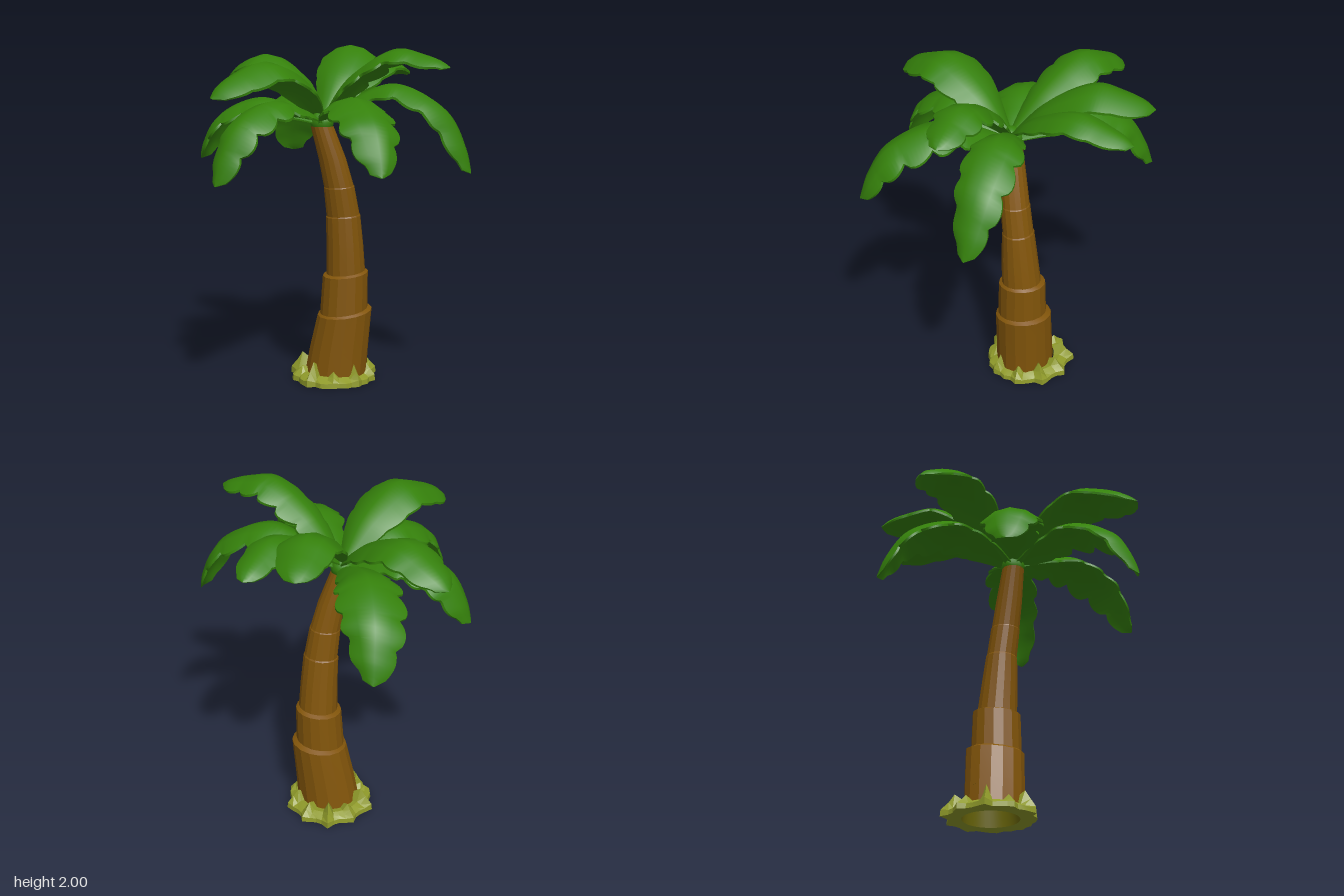
import * as THREE from 'three';
import { toCreasedNormals } from 'three/addons/utils/BufferGeometryUtils.js';

const V = (x, y, z) => new THREE.Vector3(x, y, z);
const mat = (name, color) => {
  const m = new THREE.MeshStandardMaterial({ color });
  m.name = name;
  return m;
};

// Skin closed loops of points, counter-clockwise about the direction of travel
function loft(rows, crease) {
  const n = rows[0].length, pos = [], idx = [];
  rows.forEach(row => row.forEach(p => pos.push(p.x, p.y, p.z)));
  for (let i = 0; i < rows.length - 1; i++) {
    for (let j = 0; j < n; j++) {
      const a = i * n + j, b = i * n + (j + 1) % n;
      idx.push(a, b, a + n, b, b + n, a + n);
    }
  }
  const g = new THREE.BufferGeometry();
  g.setAttribute('position', new THREE.Float32BufferAttribute(pos, 3));
  g.setIndex(idx);
  return toCreasedNormals(g, crease);
}

// Horizontal loop; fn(angle, index) gives [radiusX, radiusZ, y]
function ring(cx, cz, sides, fn) {
  return Array.from({ length: sides }, (_, j) => {
    const a = j / sides * Math.PI * 2, [rx, rz, y] = fn(a, j);
    return V(cx + rx * Math.cos(a), y, cz - rz * Math.sin(a));
  });
}

// Leaning trunk: y, centre x, centre z, radius x, radius z, rim tilt
const TRUNK = [
  [0.02, -0.017, -0.09, 0.188, 0.172, 0],
  [0.2, 0.006, -0.092, 0.176, 0.17, 0],
  [0.42, 0.04, -0.095, 0.162, 0.168, 0.015],
  [0.432, 0.037, -0.087, 0.142, 0.145, 0.015],
  [0.655, 0.046, -0.088, 0.134, 0.139, 0.01],
  [0.667, 0.05, -0.085, 0.114, 0.116, 0.01],
  [0.83, 0.048, -0.073, 0.109, 0.107, 0],
  [1.005, 0.04, -0.06, 0.103, 0.093, 0.005],
  [1.013, 0.04, -0.059, 0.098, 0.089, 0.005],
  [1.18, 0.023, -0.036, 0.09, 0.086, 0.004],
  [1.186, 0.022, -0.035, 0.087, 0.083, 0.004],
  [1.35, -0.01, -0.01, 0.08, 0.078, 0],
  [1.54, -0.062, 0.02, 0.066, 0.066, 0],
];
function trunkGeometry() {
  return loft(TRUNK.map(([y, cx, cz, rx, rz, tilt]) =>
    ring(cx, cz, 16, a => [rx, rz, y + tilt * (Math.cos(a) + Math.sin(a))])), 0.3);
}

// Jagged grass skirt around the foot
const FOOT = [-0.033, -0.107];
const HOLE = 0.158;
function grassGeometry() {
  const N = 40;
  const spike = j => (j % 4 === 0 ? 0.7 + 0.3 * Math.sin(j * 2.3) : 0);
  const edge = j => 0.242 + 0.028 * spike(j) + 0.01 * Math.sin(j * 1.7);
  const row = (r, y) => ring(...FOOT, N, (a, j) => [r(j), r(j) * 1.03, y(j)]);
  return loft([
    row(() => HOLE, () => 0),
    row(edge, () => 0),
    row(j => edge(j) - 0.003, j => 0.028 + 0.012 * spike(j)),
    row(j => 0.215 + 0.018 * spike(j), j => 0.042 + 0.045 * spike(j)),
    row(j => 0.19 + 0.01 * spike(j), j => 0.055 + 0.085 * spike(j)),
    row(() => 0.155, j => 0.05 + 0.06 * spike(j)),
  ], 0.3);
}

// Hollow seen from underneath
function hollowGeometry() {
  const row = (r, y) => ring(...FOOT, 40, () => [r, r * 1.03, y]);
  return loft([row(0.001, 0.17), row(0.135, 0.17), row(HOLE, 0)], 0.5);
}

// Arching frond with a drooping cross-section and lobed edges
const ROOT = [-0.06, 0.02];
function frondGeometry({ mid, tip, y, peak, high, half, lobe }) {
  const y0 = high ? 1.59 : 1.565, top = high ? 0.6 : 0.47, taper = high ? 2.5 : 1.9;
  const at = (u, h) => {
    const k = i => ROOT[i] * 2 * (u - 0.5) * (u - 1) + mid[i] * 4 * u * (1 - u) + tip[i] * 2 * u * (u - 0.5);
    return V(k(0), h, k(1));
  };
  const path = new THREE.CatmullRomCurve3([
    at(0, y0),
    at(top * 0.45, y0 + (peak - y0) * 0.64),
    at(top, peak),
    at(0.8, y + (peak - y) * 0.73),
    at(0.94, y + (peak - y) * 0.33),
    at(1, y),
  ]);
  const rows = [], STEPS = 42, S = [-1, -0.5, 0, 0.5, 1];
  for (let i = 0; i <= STEPS; i++) {
    const t = i / STEPS, p = path.getPointAt(t), T = path.getTangentAt(t);
    const side = V(-T.z, 0, T.x).normalize();
    const up = side.clone().cross(T);
    const shape = t < 0.5 ? 0.13 + 0.87 * Math.sin(Math.PI * t)
      : Math.sqrt(Math.max(0, 1 - ((t - 0.5) / 0.5) ** taper));
    const point = (s, under) => {
      // lobes swell towards the tip, offset between the two edges
      const f = (t * 6 + (s > 0 ? 0.4 : 0)) % 1;
      const bump = Math.sqrt(Math.sin(Math.PI * f ** 1.5));
      const cut = t > 0.2 && t < 0.97 ? 1 - lobe * (1 - bump) : 1;
      const w = half * (shape * (Math.abs(s) === 1 ? cut : 1) + 0.03);
      const thick = (0.03 - 0.016 * s * s) * Math.min(1, shape + 0.25);
      return p.clone().addScaledVector(side, s * w)
        .addScaledVector(up, -0.45 * w * s * s - (under ? thick : 0));
    };
    rows.push([...S.map(s => point(s, false)), ...S.map(s => point(-s, true))]);
  }
  return loft(rows, 0.6);
}

const FRONDS = [
  // lower tier
  { mid: [0.38, -0.045], tip: [0.81, -0.015], y: 1.3, peak: 1.79, half: 0.158, lobe: 0.25 },
  { mid: [0.25, 0.37], tip: [0.5, 0.71], y: 1.36, peak: 1.74, half: 0.175, lobe: 0.28 },
  { mid: [-0.24, 0.41], tip: [-0.415, 0.77], y: 1.28, peak: 1.71, half: 0.17, lobe: 0.28 },
  { mid: [-0.45, 0.06], tip: [-0.81, 0.06], y: 1.33, peak: 1.7, half: 0.178, lobe: 0.2 },
  { mid: [-0.34, -0.34], tip: [-0.5, -0.71], y: 1.3, peak: 1.71, half: 0.185, lobe: 0.25 },
  // upper tier
  { mid: [0.33, 0.11], tip: [0.72, 0.15], y: 1.9, peak: 1.995, half: 0.152, lobe: 0.25, high: true },
  { mid: [-0.2, 0.37], tip: [-0.42, 0.78], y: 1.75, peak: 1.93, half: 0.182, lobe: 0.08, high: true },
  { mid: [-0.43, -0.22], tip: [-0.8, -0.42], y: 1.77, peak: 1.93, half: 0.165, lobe: 0.16, high: true },
  { mid: [-0.045, -0.38], tip: [-0.1, -0.79], y: 1.87, peak: 1.98, half: 0.16, lobe: 0.06, high: true },
  { mid: [0.135, -0.34], tip: [0.2, -0.75], y: 1.8, peak: 1.91, half: 0.128, lobe: 0.12, high: true },
];

export function createModel() {
  const bark = mat('bark brown', 0x82550a);
  const leaf = mat('leaf green', 0x35810b);
  const grass = mat('grass olive', 0x8f9a2a);
  const soil = mat('soil olive', 0x6c680a);

  const model = new THREE.Group();
  model.name = 'palmTree';
  const add = (name, geometry, material, parent = model) => {
    const m = new THREE.Mesh(geometry, material);
    m.name = name;
    parent.add(m);
    return m;
  };

  add('trunk', trunkGeometry(), bark);
  add('grassSkirt', grassGeometry(), grass);
  add('baseHollow', hollowGeometry(), soil);

  const crown = new THREE.Group();
  crown.name = 'crown';
  model.add(crown);
  add('crownHub', new THREE.SphereGeometry(0.07, 12, 8), leaf, crown).position.set(-0.062, 1.565, 0.02);
  FRONDS.forEach((f, i) => add('frond' + (i + 1), frondGeometry(f), leaf, crown));
  return model;
}
